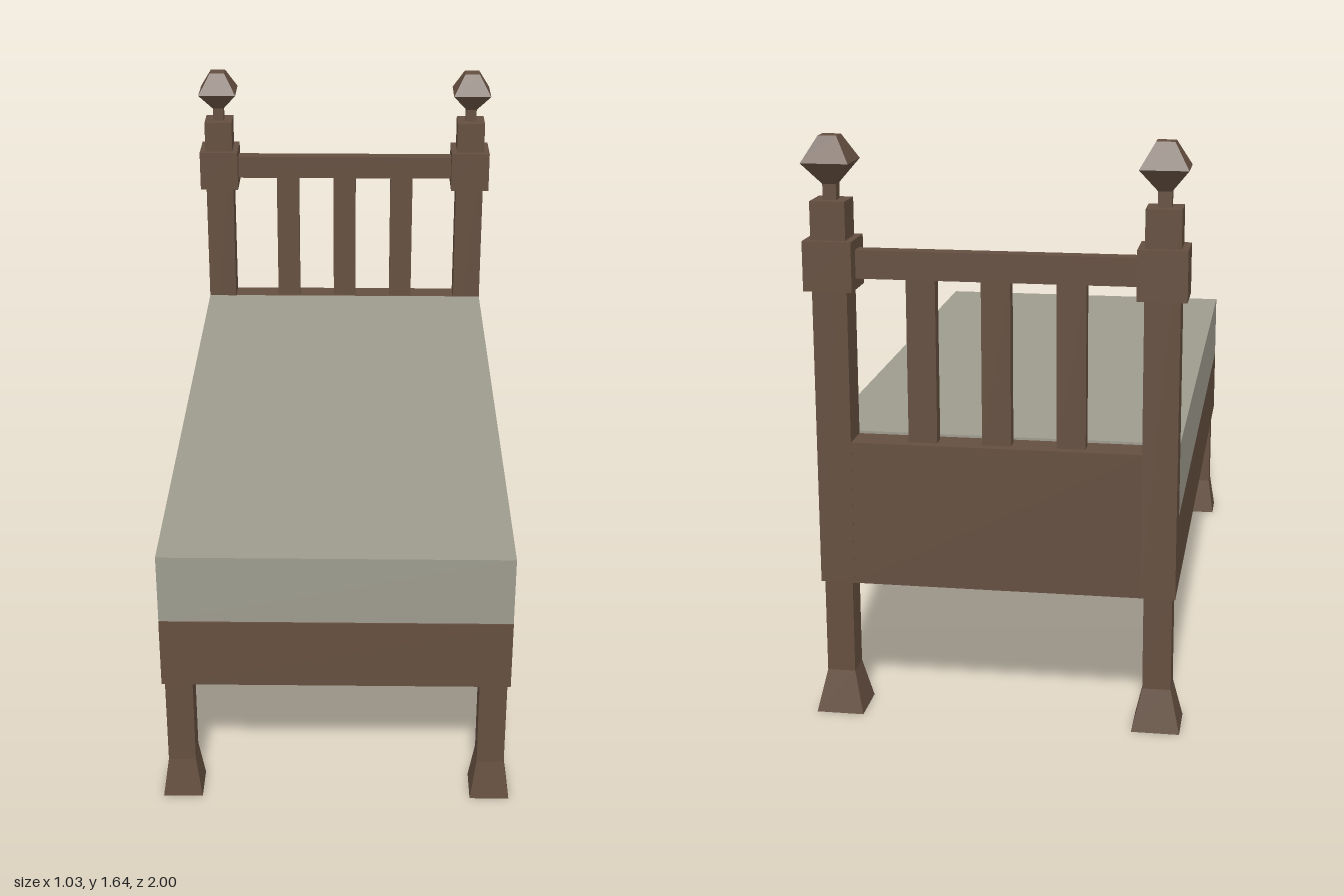
import * as THREE from 'three';

const wood = new THREE.MeshStandardMaterial({ color: 0x654f40 });
wood.name = 'brown wood';
const cloth = new THREE.MeshStandardMaterial({ color: 0x9e9c8e });
cloth.name = 'grey cloth';

export function createModel() {
  const bed = new THREE.Group();
  bed.name = 'bed';

  // Box given by its minimum and maximum on each axis
  function box(name, material, [x0, x1], [y0, y1], [z0, z1]) {
    const mesh = new THREE.Mesh(new THREE.BoxGeometry(x1 - x0, y1 - y0, z1 - z0), material);
    mesh.position.set((x0 + x1) / 2, (y0 + y1) / 2, (z0 + z1) / 2);
    mesh.name = name;
    bed.add(mesh);
  }

  // Square block centred on (x, z), tapering from the bottom width to the top width
  function taper(name, x, z, y0, y1, bottom, top) {
    const geometry = new THREE.BoxGeometry(1, y1 - y0, 1);
    const p = geometry.attributes.position;
    for (let i = 0; i < p.count; i++) {
      const w = p.getY(i) > 0 ? top : bottom;
      p.setX(i, p.getX(i) * w);
      p.setZ(i, p.getZ(i) * w);
    }
    geometry.computeVertexNormals();
    const mesh = new THREE.Mesh(geometry, wood);
    mesh.position.set(x, (y0 + y1) / 2, z);
    mesh.name = name;
    bed.add(mesh);
  }

  const half = 0.497, back = -0.887, front = 0.992, postX = 0.449, postZ = -0.933;

  // Base and mattress
  box('bedFrame', wood, [-half, half], [0.39, 0.6], [back, front]);
  box('mattress', cloth, [-half, half], [0.6, 0.807], [back, front - 0.004]);

  // Headboard panel, top rail and slats between the posts
  box('headboardPanel', wood, [-0.41, 0.41], [0.39, 0.8], [-0.98, back]);
  box('headboardRail', wood, [-0.41, 0.41], [1.255, 1.333], [postZ - 0.022, postZ + 0.022]);
  for (const x of [-0.205, 0, 0.205]) {
    box('headboardSlat', wood, [x - 0.04, x + 0.04], [0.8, 1.255], [postZ - 0.02, postZ + 0.02]);
  }

  for (const side of [-1, 1]) {
    const x = side * postX;
    // Head post with collar, neck and faceted finial
    taper('headPost', x, postZ, 0.39, 1.467, 0.096, 0.096);
    taper('postCollar', x, postZ, 1.225, 1.362, 0.134, 0.134);
    taper('finialNeck', x, postZ, 1.467, 1.51, 0.037, 0.037);
    taper('finialLower', x, postZ, 1.51, 1.57, 0.037, 0.13);
    taper('finialUpper', x, postZ, 1.57, 1.64, 0.13, 0.05);

    // Legs with flared feet
    for (const [z, foot] of [[postZ, 0.134], [0.943, 0.114]]) {
      taper('leg', x, z, 0.12, 0.39, 0.079, 0.079);
      taper('foot', x, z, 0, 0.12, foot, 0.079);
    }
  }
  return bed;
}
